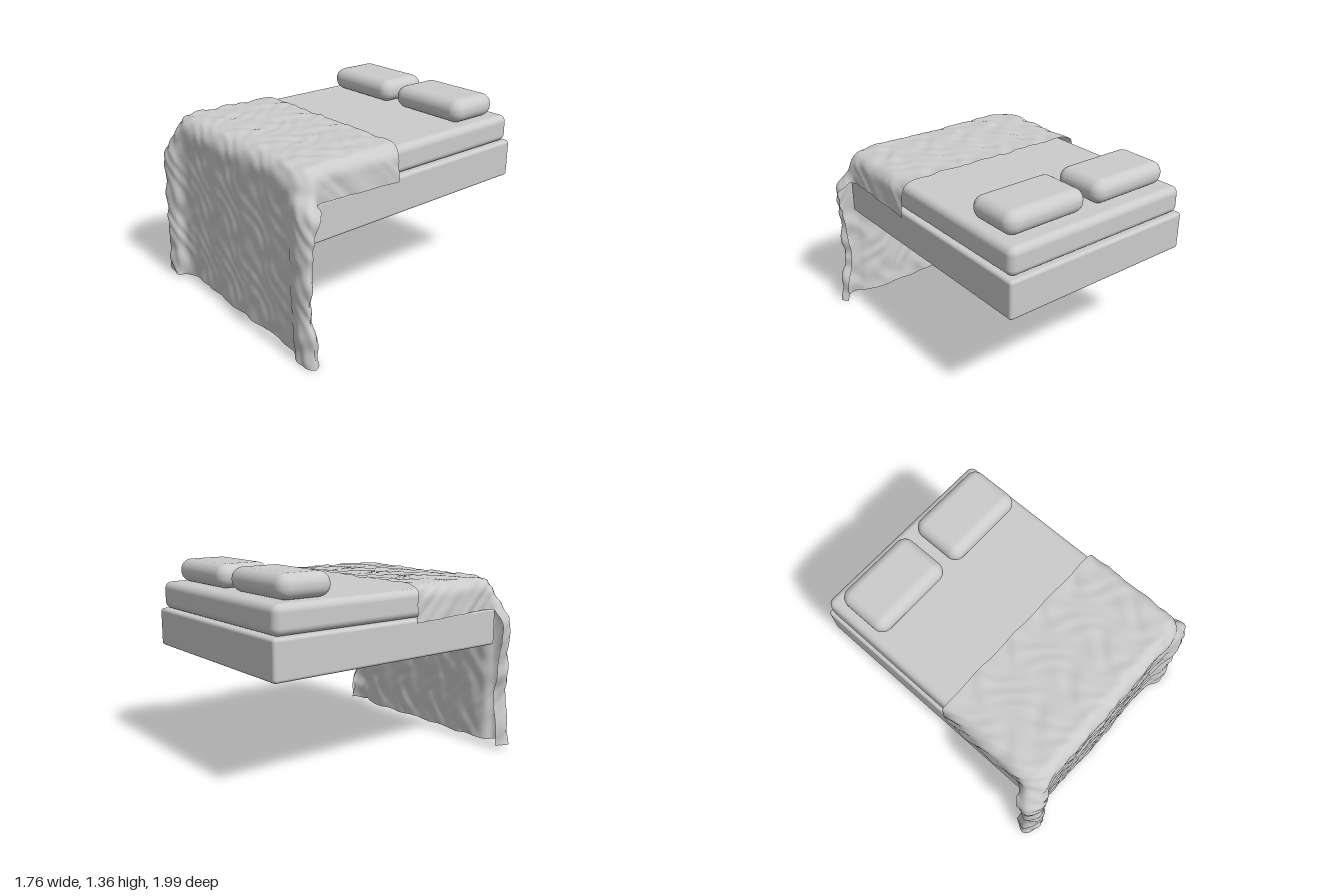
import * as THREE from 'three';
import { RoundedBoxGeometry } from 'three/addons/geometries/RoundedBoxGeometry.js';

const grey = new THREE.MeshStandardMaterial({ color: 0xcccccc });
const cloth = new THREE.MeshStandardMaterial({ color: 0xcccccc, side: THREE.DoubleSide });
const CENTRE = -0.01;

// Rounded block given by its min and max corners
function block(name, [x0, y0, z0], [x1, y1, z1], radius) {
  const geo = new RoundedBoxGeometry(x1 - x0, y1 - y0, z1 - z0, 6, radius);
  const mesh = new THREE.Mesh(geo, grey);
  mesh.position.set((x0 + x1) / 2, (y0 + y1) / 2, (z0 + z1) / 2);
  mesh.name = name;
  return mesh;
}

// Half cross-sections of the blanket, middle to hem, from the turned-back end to the floor
const overBed = (z, hem) => [[0, 1.243, z], [0.6, 1.243, z], [0.695, 1.232, z],
  [0.742, 1.18, z], [0.75, 1.09, z], [0.752, hem, z]];
const SECTIONS = [
  overBed(0.115, 0.995),
  overBed(0.45, 1.01),
  overBed(0.76, 1.02),
  [[0, 1.235, 0.845], [0.6, 1.235, 0.845], [0.69, 1.215, 0.835], [0.745, 1.15, 0.825], [0.77, 1.08, 0.81], [0.785, 1.02, 0.8]],
  [[0, 1.17, 0.9], [0.6, 1.17, 0.9], [0.67, 1.15, 0.895], [0.74, 1.09, 0.885], [0.8, 1.04, 0.86], [0.81, 1, 0.8]],
  [[0, 1, 0.908], [0.6, 1, 0.908], [0.68, 1, 0.94], [0.76, 0.98, 0.95], [0.84, 0.95, 0.9], [0.85, 0.92, 0.83]],
  [[0, 0.5, 0.905], [0.63, 0.5, 0.91], [0.69, 0.5, 0.955], [0.77, 0.5, 0.97], [0.825, 0.5, 0.91], [0.79, 0.5, 0.84]],
  [[0, 0.02, 0.905], [0.64, 0.02, 0.905], [0.69, 0.02, 0.97], [0.77, 0.02, 0.98], [0.86, 0.02, 0.92], [0.83, 0.02, 0.83]],
];
const ROW_STEPS = [16, 16, 5, 6, 8, 28, 28];
const COLUMN_STEPS = [6, 6, 6, 7, 44, 44, 7, 6, 6, 6];

// Curve parameters with a chosen number of steps in each span
function spread(steps) {
  const out = [0];
  steps.forEach((n, i) => {
    for (let k = 1; k <= n; k++) out.push((i + k / n) / steps.length);
  });
  return out;
}

// Soft irregular wrinkles
function wrinkle(a, b) {
  const p = a + 0.04 * Math.sin(b * 13 + 1), q = b + 0.035 * Math.sin(a * 17);
  return 0.4 * Math.sin(p * 33 + q * 9) * Math.sin(q * 29 - p * 6)
    + 0.35 * Math.sin(p * 19 - q * 23 + 2) + 0.25 * Math.sin(p * 47 + q * 38);
}

function blanket() {
  // One lengthwise curve for each control point, left and right
  const lines = [];
  for (let i = -5; i <= 5; i++) {
    lines.push(new THREE.CatmullRomCurve3(SECTIONS.map((section, row) => {
      const [x, y, z] = section[Math.abs(i)];
      const drop = row > 4 && i > 1; // the +x fold is shallower and flares at the floor
      return new THREE.Vector3(Math.sign(i) * x + CENTRE + (drop && row === 7 ? 0.03 : 0), y,
        drop ? z - (z - 0.905) * 0.4 : z);
    })));
  }
  const rows = spread(ROW_STEPS), cols = spread(COLUMN_STEPS);
  const pos = [], index = [], w = cols.length;
  rows.forEach((v, r) => {
    const across = new THREE.CatmullRomCurve3(lines.map((line) => line.getPoint(v)));
    cols.forEach((u, c) => {
      pos.push(...across.getPoint(u).toArray());
      if (r && c) {
        const d = r * w + c, b = d - w;
        index.push(b - 1, d - 1, b, b, d - 1, d);
      }
    });
  });
  const geo = new THREE.BufferGeometry();
  geo.setAttribute('position', new THREE.Float32BufferAttribute(pos, 3));
  geo.setIndex(index);
  geo.computeVertexNormals();

  // Push the sheet in and out along its normals, and make the hems uneven
  const p = geo.attributes.position, n = geo.attributes.normal;
  for (let i = 0; i < p.count; i++) {
    const x = p.getX(i), y = p.getY(i), z = p.getZ(i);
    const side = Math.min(1, Math.max(0, (Math.abs(x) - 0.65) / 0.1));
    const d = wrinkle(x, y - z) * (0.008 + 0.005 * side);
    const low = Math.max(0, 1 - y / 0.3);
    const back = Math.max(0, 1 - (z - 0.115) / 0.1);
    const sway = side * Math.max(0, 1 - Math.abs(y - 0.5) / 0.5) * Math.sin(y * 14) * 0.015;
    p.setXYZ(i, x + n.getX(i) * d + Math.sign(x) * sway,
      y + n.getY(i) * d + low * (0.006 * Math.sin(x * 21) - 0.008 * x),
      z + n.getZ(i) * d + back * (0.008 * x + 0.004 * Math.sin(x * 18)));
  }
  geo.computeVertexNormals();
  const mesh = new THREE.Mesh(geo, cloth);
  mesh.name = 'blanket';
  return mesh;
}

export function createModel() {
  const bed = new THREE.Group();
  bed.name = 'bed';
  bed.add(
    block('bedBase', [-0.742, 0.755, -1], [0.72, 1.02, 0.885], 0.022),
    block('mattress', [-0.725, 1.02, -0.98], [0.703, 1.21, 0.865], 0.05),
  );
  // Pillows, side by side at the head
  for (const side of [-1, 1]) {
    const x = CENTRE + side * 0.347;
    bed.add(block(side < 0 ? 'rightPillow' : 'leftPillow',
      [x - 0.307, 1.21, -0.89], [x + 0.307, 1.37, -0.497], 0.076));
  }
  bed.add(blanket());
  return bed;
}
